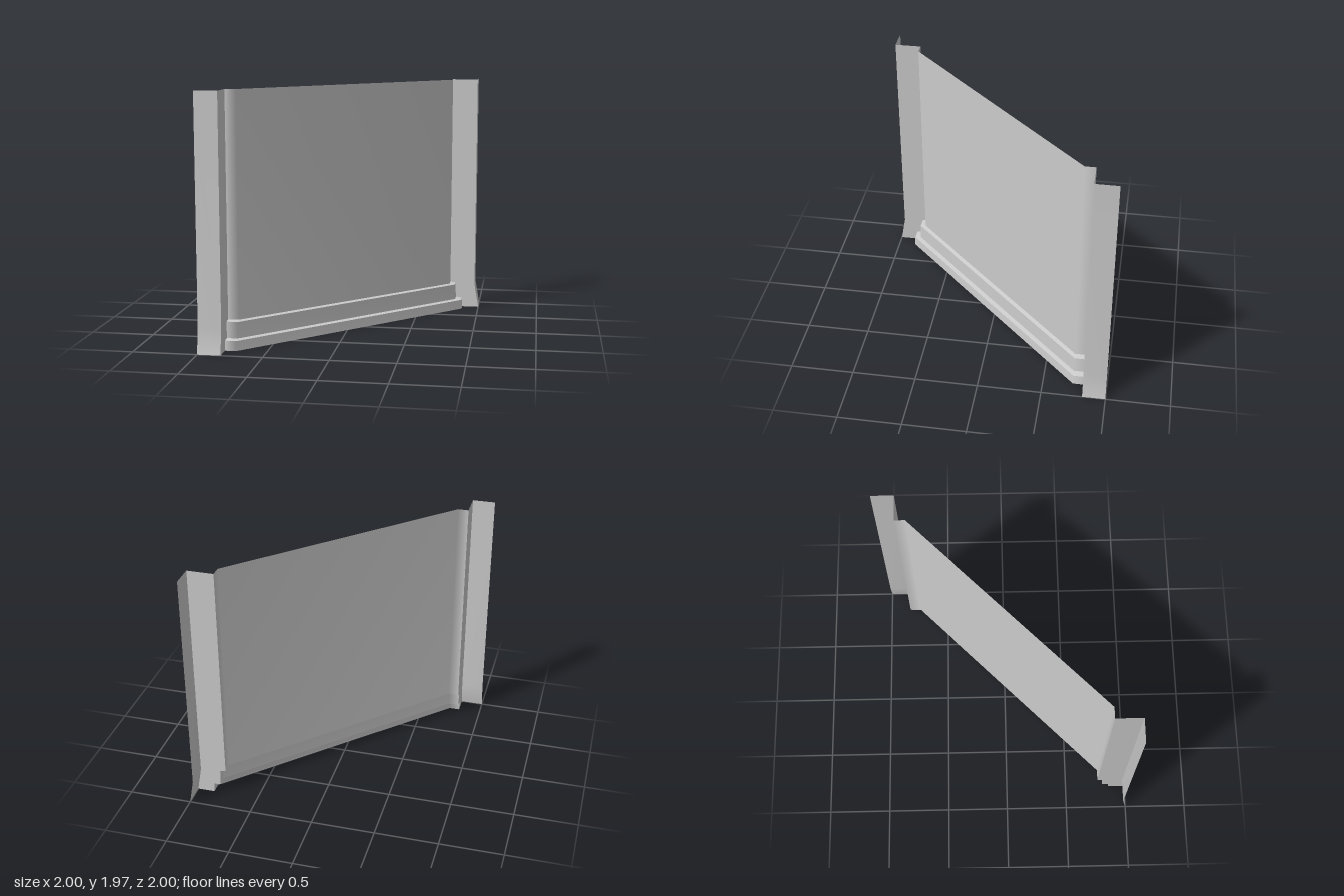
import * as THREE from 'three';

const TOP = 1.965, END = -0.82, KINK = -0.735;

// Stepped profile of the diagonal wall, top to bottom: [offset, height]
const wallProfile = [
  [0.757, TOP], [0.757, 0.217], [0.802, 0.21],
  [0.806, 0.083], [0.856, 0.076], [0.863, 0],
];

// Offset of the end posts, flaring out near the floor
const FLARE_Y = 0.2;
const postOffset = (y) => (y >= FLARE_Y ? 0.965 : 1 - 0.035 * (y / FLARE_Y));
const postHeights = [TOP, FLARE_Y, 0];

const material = new THREE.MeshStandardMaterial({ color: 0xcccccc, side: THREE.DoubleSide });

// Sheet from rows of points, top to bottom and left to right, smooth inside
function sheet(name, rows) {
  const cols = rows[0].length;
  const index = [];
  for (let i = 0; i < rows.length - 1; i++) {
    for (let j = 0; j < cols - 1; j++) {
      const a = i * cols + j, b = a + cols;
      index.push(a, b, b + 1, a, b + 1, a + 1);
    }
  }
  const geometry = new THREE.BufferGeometry();
  geometry.setAttribute('position', new THREE.Float32BufferAttribute(rows.flat(2), 3));
  geometry.setIndex(index);
  geometry.computeVertexNormals();
  const mesh = new THREE.Mesh(geometry, material);
  mesh.name = name;
  return mesh;
}

// Plan of the wall at one profile point: short return, diagonal, short return
const wallRow = ([d, y]) => [[END, y, d], [KINK, y, d], [d, y, KINK], [d, y, END]];

export function createModel() {
  const group = new THREE.Group();
  group.name = 'diagonalWallPanel';

  // Wall, skirting faces and ledges, with a sharp edge between each
  const names = ['wall', 'upperLedge', 'upperSkirting', 'lowerLedge', 'lowerSkirting'];
  names.forEach((name, i) => {
    group.add(sheet(name, [wallRow(wallProfile[i]), wallRow(wallProfile[i + 1])]));
  });

  // Flared faces of the two end posts
  group.add(sheet('rightPostFace', postHeights.map((y) => {
    const f = postOffset(y);
    return [[-1, y, f], [END, y, f]];
  })));
  group.add(sheet('leftPostFace', postHeights.map((y) => {
    const f = postOffset(y);
    return [[f, y, END], [f, y, -1]];
  })));

  // Flat sides joining the posts to the wall, cut to the skirting profile
  const sideProfile = [...wallProfile];
  sideProfile.splice(3, 0, [0.8023, FLARE_Y]);
  group.add(sheet('rightPostSide', sideProfile.map(([d, y]) =>
    [[END, y, postOffset(y)], [END, y, d]])));
  group.add(sheet('leftPostSide', sideProfile.map(([d, y]) =>
    [[d, y, END], [postOffset(y), y, END]])));

  return group;
}
